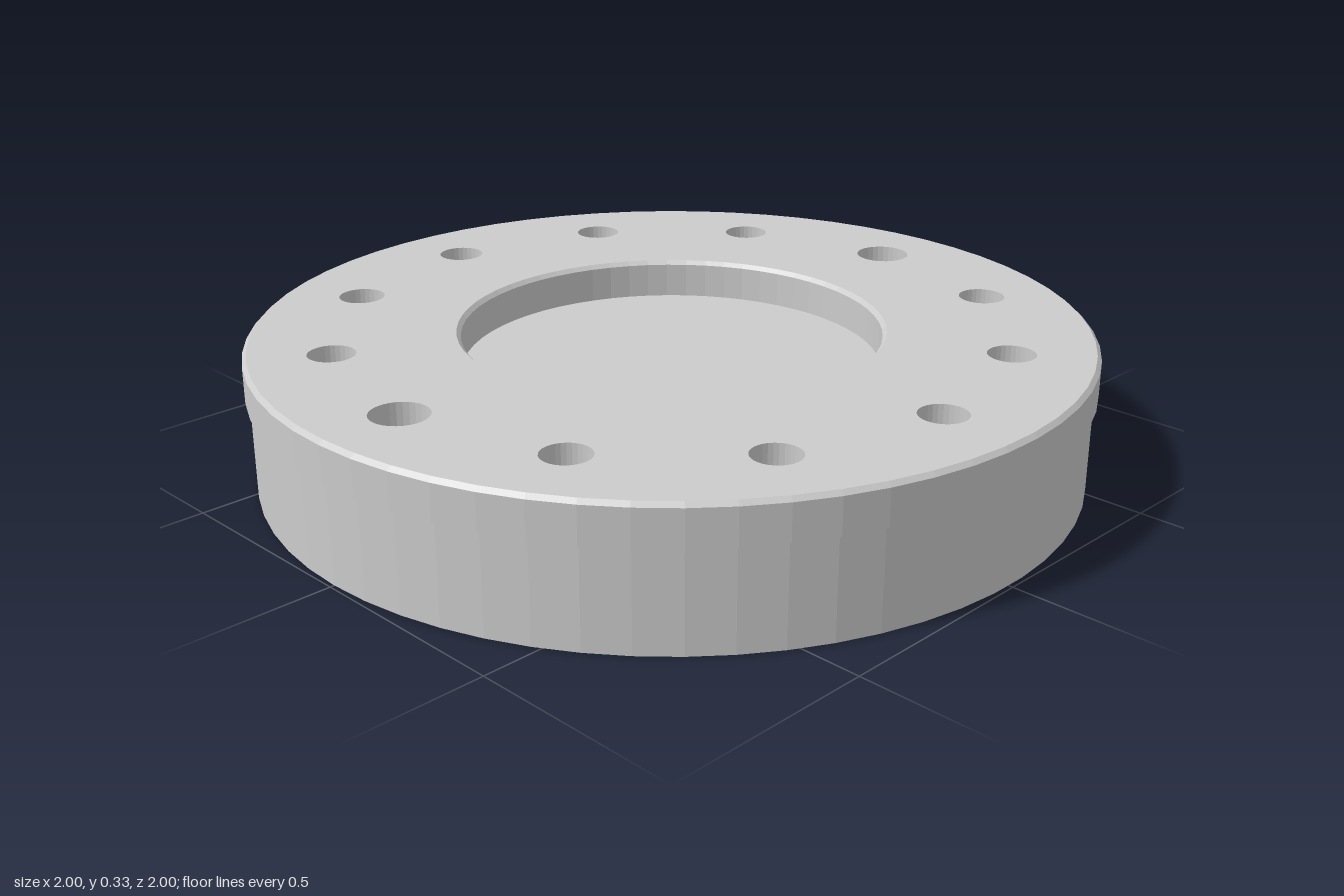
import * as THREE from 'three';

const SIDES = 62;
const TOP = 0.33, SEAM = 0.235, BEVEL = 0.01;

export function createModel() {
  const model = new THREE.Group();
  const material = new THREE.MeshStandardMaterial({ color: 0xcccccc, flatShading: true });

  const add = (name, geometry, x = 0, z = 0) => {
    const mesh = new THREE.Mesh(geometry, material);
    mesh.name = name;
    mesh.position.set(x, 0, z);
    model.add(mesh);
  };
  const lathe = (profile, sides) =>
    new THREE.LatheGeometry(profile.map(([r, y]) => new THREE.Vector2(r, y)), sides, Math.PI / 2);
  const ring = (r, sides, cx = 0, cy = 0) =>
    Array.from({ length: sides }, (_, i) => {
      const a = (i / sides) * Math.PI * 2;
      return new THREE.Vector2(cx + r * Math.cos(a), cy + r * Math.sin(a));
    });

  // Solid base disc
  add('base', lathe([[0, 0], [0.99, 0], [0.99, SEAM]], SIDES));

  // Flange rim, slightly wider than the base, with a bevelled top edge
  add('flangeRim', lathe([[0.99, SEAM], [1, SEAM], [1, TOP - BEVEL], [1 - BEVEL, TOP]], SIDES));

  // Central recess: bevelled lip, wall and flat floor
  add('recess', lathe([[0.51, TOP], [0.5, TOP - BEVEL], [0.5, SEAM], [0, SEAM]], SIDES));

  // Flange face pierced by the recess and twelve bolt holes
  const face = new THREE.Shape(ring(1 - BEVEL, SIDES));
  face.holes.push(new THREE.Path(ring(0.51, SIDES)));

  for (let i = 0; i < 12; i++) {
    const a = (i / 12) * Math.PI * 2;
    const x = 0.8 * Math.cos(a), z = 0.8 * Math.sin(a);
    const r = i % 6 === 0 ? 0.067 : 0.056; // the two side holes are larger
    face.holes.push(new THREE.Path(ring(r, 30, x, -z)));
    // Blind bore with a conical drill tip
    add('boltHole', lathe([[r, TOP], [r, 0.14], [0, 0.14 - 0.6 * r]], 30), x, z);
  }
  add('flangeFace', new THREE.ShapeGeometry(face).rotateX(-Math.PI / 2).translate(0, TOP, 0));

  return model;
}
